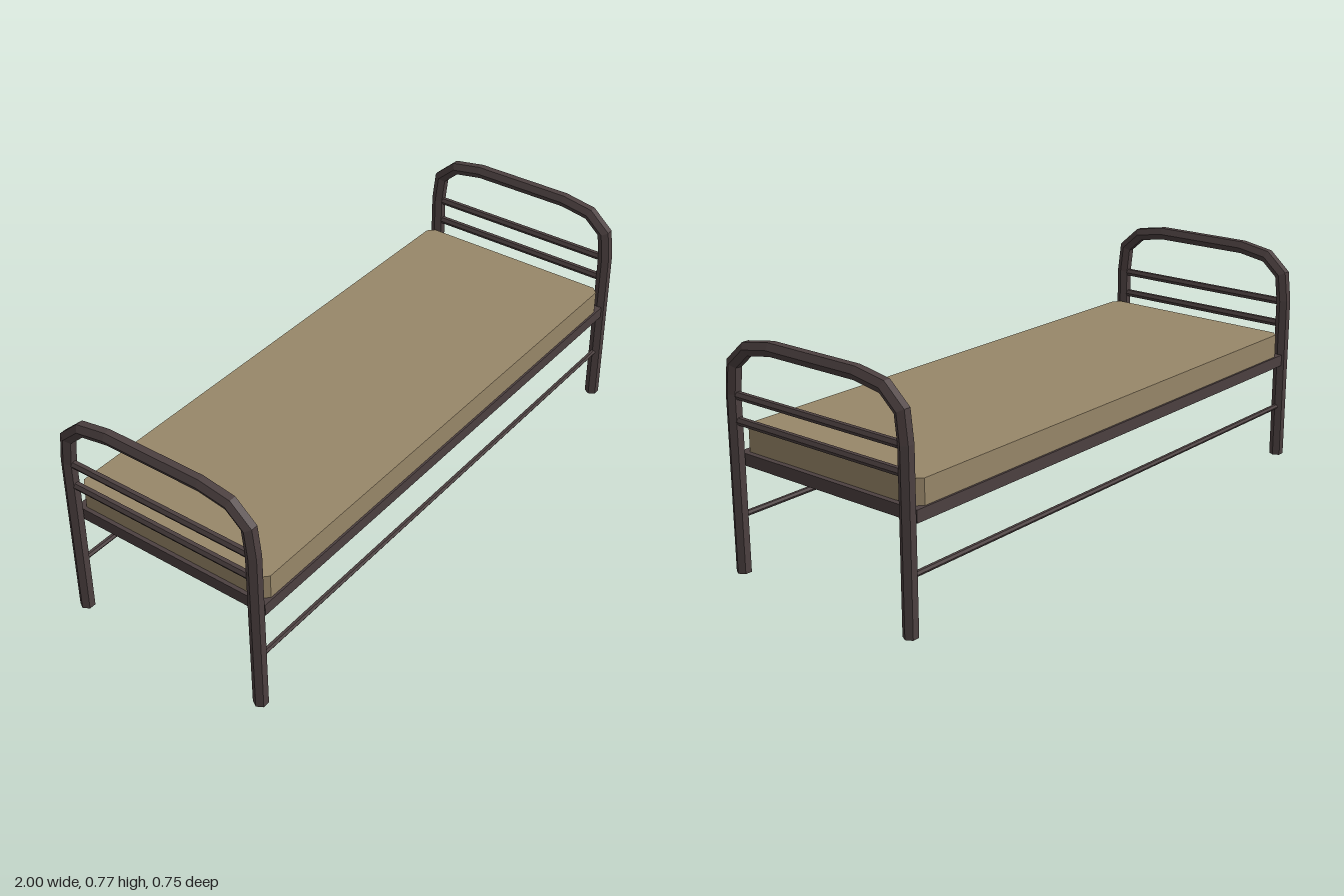
import * as THREE from 'three';

const metal = new THREE.MeshStandardMaterial({ color: 0x4c4040, flatShading: true });
const fabric = new THREE.MeshStandardMaterial({ color: 0x988769, flatShading: true });

function add(group, name, geometry, material, x = 0, y = 0, z = 0) {
  const mesh = new THREE.Mesh(geometry, material);
  mesh.name = name;
  mesh.position.set(x, y, z);
  group.add(mesh);
  return mesh;
}

// Six-sided tube with mitred joints along a path of [z, y] points
function mitredTube(path, radius, sides = 6) {
  const positions = [];
  const indices = [];
  const points = path.map(([z, y]) => new THREE.Vector2(z, y));
  const last = points.length - 1;
  const direction = (i) => points[i + 1].clone().sub(points[i]).normalize();
  points.forEach((p, i) => {
    const before = direction(Math.max(i - 1, 0));
    const after = direction(Math.min(i, last - 1));
    const t = before.clone().add(after).normalize();
    const stretch = 1 / t.dot(after);
    for (let k = 0; k < sides; k++) {
      const a = (k / sides) * Math.PI * 2;
      const out = Math.sin(a) * radius * stretch;
      positions.push(Math.cos(a) * radius, p.y - t.x * out, p.x + t.y * out);
    }
  });
  for (let i = 0; i < last; i++) {
    for (let k = 0; k < sides; k++) {
      const a = i * sides + k;
      const b = i * sides + ((k + 1) % sides);
      indices.push(a, a + sides, b, b, a + sides, b + sides);
    }
  }
  const end = last * sides;
  for (let k = 1; k < sides - 1; k++) {
    indices.push(0, k, k + 1, end, end + k + 1, end + k);
  }
  const indexed = new THREE.BufferGeometry();
  indexed.setAttribute('position', new THREE.Float32BufferAttribute(positions, 3));
  indexed.setIndex(indices);
  const geometry = indexed.toNonIndexed();
  geometry.computeVertexNormals();
  return geometry;
}

// Mattress block with cut corners
function mattressGeometry(hx, hz, height, cut) {
  const corners = [
    [-hx + cut, -hz], [hx - cut, -hz], [hx, -hz + cut], [hx, hz - cut],
    [hx - cut, hz], [-hx + cut, hz], [-hx, hz - cut], [-hx, -hz + cut],
  ];
  const shape = new THREE.Shape(corners.map(([x, z]) => new THREE.Vector2(x, z)));
  return new THREE.ExtrudeGeometry(shape, { depth: height, bevelEnabled: false }).rotateX(-Math.PI / 2);
}

export function createModel() {
  const bed = new THREE.Group();
  bed.name = 'bed';

  // End frames: bent tube with two cross bars
  const half = [[0.354, 0], [0.354, 0.582], [0.343, 0.676], [0.279, 0.733], [0.174, 0.751]];
  const path = [...half, ...half.map(([z, y]) => [-z, y]).reverse()];
  const archGeometry = mitredTube(path, 0.0243);
  const barGeometry = new THREE.CylinderGeometry(0.0135, 0.0135, 0.69, 6)
    .rotateY(Math.PI / 6).rotateX(Math.PI / 2);
  for (const side of [-1, 1]) {
    const endFrame = new THREE.Group();
    endFrame.name = side > 0 ? 'leftEndFrame' : 'rightEndFrame';
    endFrame.position.x = side * 0.9757;
    add(endFrame, 'bentTube', archGeometry, metal);
    for (const y of [0.4955, 0.5765]) add(endFrame, 'crossBar', barGeometry, metal, 0, y);
    bed.add(endFrame);
  }

  // Bed base: side rails, end rails and the lower rods
  const sideRail = new THREE.BoxGeometry(1.91, 0.04, 0.025);
  const endRail = new THREE.BoxGeometry(0.025, 0.04, 0.69);
  const rod = new THREE.CylinderGeometry(0.0095, 0.0095, 1.92, 6).rotateZ(Math.PI / 2);
  for (const side of [-1, 1]) {
    add(bed, 'sideRail', sideRail, metal, 0, 0.365, side * 0.3575);
    add(bed, 'endRail', endRail, metal, side * 0.9425, 0.365, 0);
    add(bed, 'lowerRod', rod, metal, 0, 0.186, side * 0.354);
  }

  // Slats across the base
  const slatCount = 8;
  const slat = new THREE.BoxGeometry(0.13, 0.025, 0.69);
  for (let i = 0; i < slatCount; i++) {
    const x = (i - (slatCount - 1) / 2) * 0.211;
    add(bed, 'slat', slat, metal, x, 0.3715, 0);
  }

  add(bed, 'mattress', mattressGeometry(0.939, 0.363, 0.082, 0.022), fabric, -0.002, 0.385, 0);
  return bed;
}
